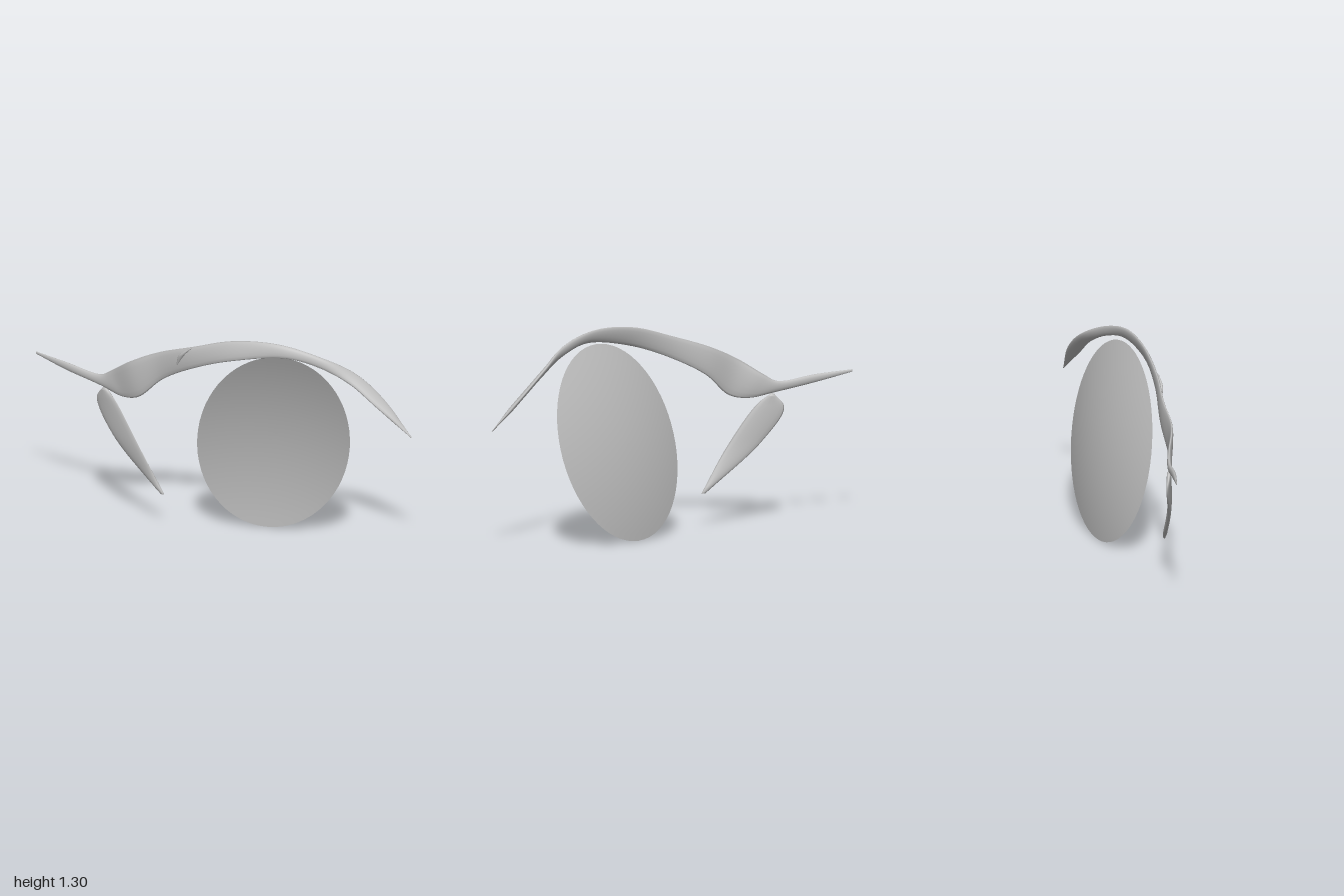
import * as THREE from 'three';

const grey = new THREE.MeshStandardMaterial({ color: 0xbcbcbc, side: THREE.DoubleSide });
grey.name = 'plain grey';

const curve = (points) => new THREE.CatmullRomCurve3(points.map((p) => new THREE.Vector3(...p)), false, 'centripetal');

// Mesh from a grid of rings that wrap around
function fromRings(name, rings) {
  const sides = rings[0].length;
  const index = [];
  for (let i = 0; i < rings.length - 1; i++) {
    for (let j = 0; j < sides; j++) {
      const a = i * sides + j, b = i * sides + (j + 1) % sides;
      index.push(a, b, a + sides, b, b + sides, a + sides);
    }
  }
  const geometry = new THREE.BufferGeometry().setFromPoints(rings.flat());
  geometry.setIndex(index);
  geometry.computeVertexNormals();
  const mesh = new THREE.Mesh(geometry, grey);
  mesh.name = name;
  return mesh;
}

// Thin lens-shaped blade between two edge curves, closed at both ends
function blade(name, edgeA, edgeB, thickness, steps = 60, sides = 14) {
  const A = curve(edgeA), B = curve(edgeB);
  const at = (t) => A.getPoint(t).add(B.getPoint(t)).multiplyScalar(0.5);
  const rings = [];
  for (let i = 0; i <= steps; i++) {
    const t = i / steps;
    const centre = at(t);
    const half = A.getPoint(t).sub(centre);
    const along = at(Math.min(1, t + 0.01)).sub(at(Math.max(0, t - 0.01)));
    const normal = along.cross(half).normalize().multiplyScalar(Math.min(thickness, half.length() * 0.5));
    const ring = [];
    for (let j = 0; j < sides; j++) {
      const f = -j / sides * Math.PI * 2;
      ring.push(centre.clone().addScaledVector(half, Math.cos(f)).addScaledVector(normal, Math.sin(f)));
    }
    if (i === 0) rings.push(ring.map(() => centre.clone()));
    rings.push(ring);
    if (i === steps) rings.push(ring.map(() => centre.clone()));
  }
  return fromRings(name, rings);
}

// Shallow oval bowl, tilted, hollow towards the front
function bowl() {
  const depth = 0.075, steps = 16, sides = 64;
  const normal = new THREE.Vector3(-0.46, -0.235, 1).normalize();
  const rings = [];
  for (let i = 0; i <= steps; i++) {
    const r = Math.max(i / steps, 0.001);
    const ring = [];
    for (let j = 0; j < sides; j++) {
      const f = j / sides * Math.PI * 2;
      const x = 0.435 * r * Math.cos(f), y = 0.605 * r * Math.sin(f);
      ring.push(new THREE.Vector3(0.25 + x, 0.605 + y, 0.26 + 0.46 * x + 0.235 * y)
        .addScaledVector(normal, -depth * (1 - r * r)));
    }
    rings.push(ring);
  }
  return fromRings('iris', rings);
}

export function createModel() {
  const model = new THREE.Group();
  model.name = 'eye';
  model.add(bowl());

  // Upper lid line with its outer tail
  model.add(blade('upperLash',
    [[-1, 0.93, -0.8], [-0.85, 0.912, -0.615], [-0.68, 0.885, -0.43], [-0.63, 0.93, -0.36], [-0.55, 1.03, -0.22],
      [-0.4, 1.12, -0.1], [-0.22, 1.205, 0.08], [0, 1.285, 0.25], [0.25, 1.297, 0.41], [0.5, 1.225, 0.52],
      [0.7, 1.12, 0.555], [0.85, 0.98, 0.635], [1, 0.76, 0.795]],
    [[-1, 0.915, -0.8], [-0.85, 0.862, -0.615], [-0.68, 0.815, -0.42], [-0.58, 0.785, -0.28], [-0.5, 0.81, -0.18],
      [-0.37, 0.95, -0.08], [-0.2, 1.08, 0.11], [0, 1.17, 0.29], [0.28, 1.217, 0.45], [0.48, 1.165, 0.53],
      [0.65, 1.07, 0.6], [0.8, 0.935, 0.69], [0.995, 0.757, 0.79]], 0.014, 96));

  // Lower outer lash
  model.add(blade('lowerLash',
    [[-0.655, 0.81, -0.4], [-0.61, 0.74, -0.32], [-0.5, 0.49, -0.17], [-0.37, 0.205, -0.05]],
    [[-0.67, 0.805, -0.415], [-0.695, 0.72, -0.47], [-0.62, 0.51, -0.35], [-0.385, 0.205, -0.07]], 0.013));

  // Small crease on the front of the lid line
  model.add(blade('lidCrease',
    [[-0.225, 1.2, 0.09], [-0.265, 1.15, 0.06], [-0.3, 1.075, 0.02]],
    [[-0.235, 1.2, 0.08], [-0.295, 1.14, 0.03], [-0.305, 1.075, 0.01]], 0.012, 16, 10));
  return model;
}
